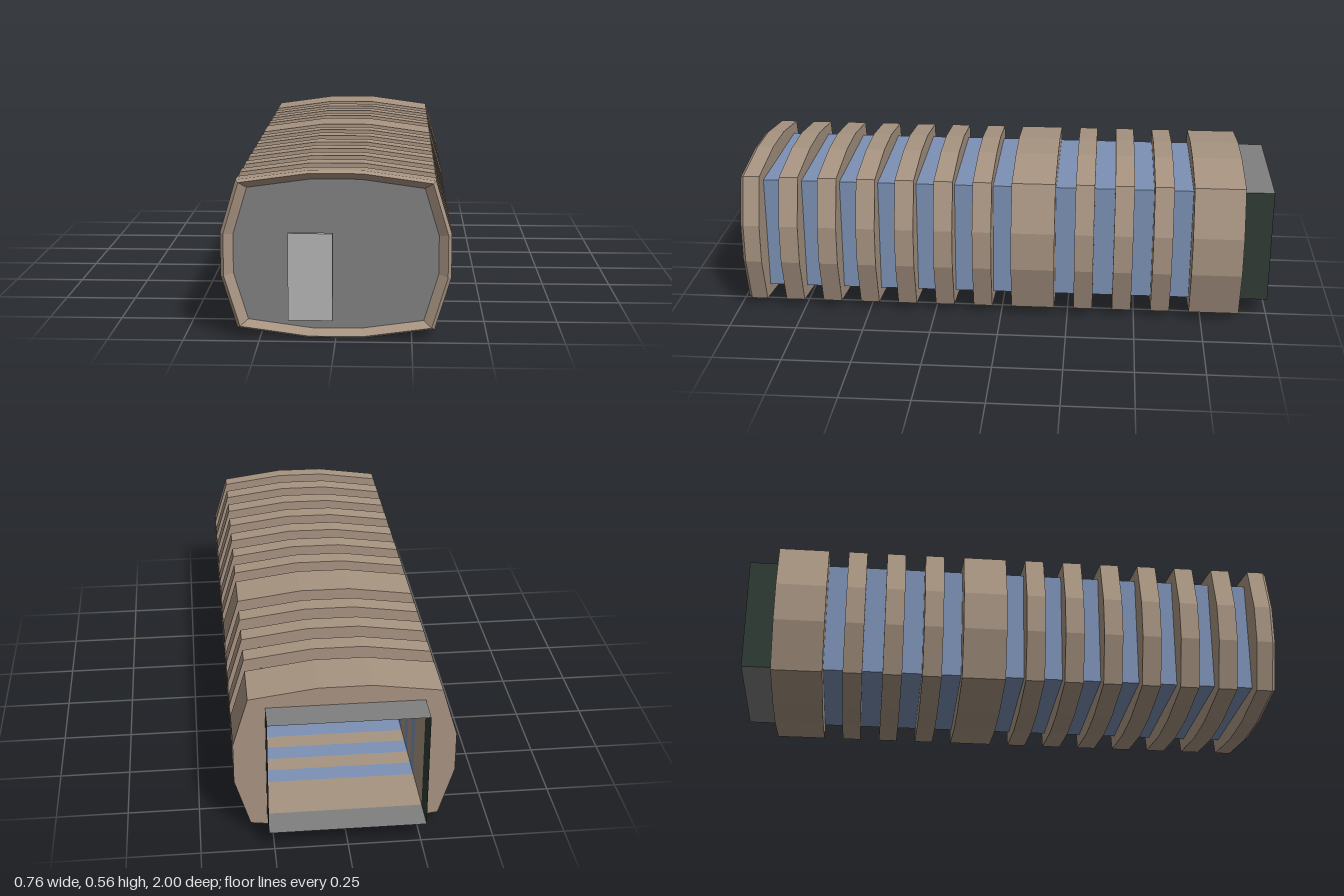
import * as THREE from 'three';

const mat = (name, color, extra = {}) => {
  const m = new THREE.MeshStandardMaterial({ color, ...extra });
  m.name = name;
  return m;
};

export function createModel() {
  const group = new THREE.Group();
  const brown = mat('brown ribs', 0xa89482, { flatShading: true });
  const blue = mat('blue duct', 0x7c91b5, { side: THREE.DoubleSide });
  const grey = mat('grey panel', 0x808080, { side: THREE.DoubleSide });
  const light = mat('light grey', 0xb4b4b4);
  const dark = mat('dark green', 0x303c35, { side: THREE.DoubleSide });

  const CY = 0.2825, HX = 0.268, Y0 = 0.068, Y1 = 0.497;

  const add = (name, geometry, material, x = 0, y = 0, z = 0) => {
    const mesh = new THREE.Mesh(geometry, material);
    mesh.name = name;
    mesh.position.set(x, y, z);
    group.add(mesh);
    return mesh;
  };

  // Twelve-sided hull section, counter-clockwise, scaled about its centre
  const quarter = [[0.378, 0.0725], [0.325, 0.2485], [0.09, 0.281]];
  const section = (s = 1) => [
    ...quarter,
    ...quarter.map(([x, y]) => [-x, y]).reverse(),
    ...quarter.map(([x, y]) => [-x, -y]),
    ...quarter.map(([x, y]) => [x, -y]).reverse(),
  ].map(([x, y]) => new THREE.Vector2(x * s, CY + y * s));

  // Rib: hull section with a rectangular passage through it
  const rib = (name, z0, z1) => {
    const shape = new THREE.Shape(section());
    shape.holes.push(new THREE.Path([[-HX, Y0], [-HX, Y1], [HX, Y1], [HX, Y0]]
      .map(([x, y]) => new THREE.Vector2(x, y))));
    add(name, new THREE.ExtrudeGeometry(shape, { depth: z1 - z0, bevelEnabled: false }), brown, 0, 0, z0);
  };

  // Four thin walls of the rectangular duct
  const duct = (name, z0, z1, sideMat, flatMat) => {
    const len = z1 - z0, zc = (z0 + z1) / 2;
    for (const s of [-1, 1]) {
      add(name + 'Side', new THREE.PlaneGeometry(len, Y1 - Y0), sideMat, s * HX, (Y0 + Y1) / 2, zc)
        .rotation.y = s * Math.PI / 2;
      add(name + (s > 0 ? 'Top' : 'Floor'), new THREE.PlaneGeometry(2 * HX, len), flatMat, 0, s > 0 ? Y1 : Y0, zc)
        .rotation.x = -s * Math.PI / 2;
    }
  };

  // Ribs from back to front
  const spans = [[-0.89, -0.705], [-0.632, -0.562], [-0.488, -0.418], [-0.344, -0.274], [-0.2, -0.04]];
  for (let i = 0; i < 6; i++) spans.push([0.033 + i * 0.1437, 0.103 + i * 0.1437]);
  spans.push([0.895, 0.94]);
  spans.forEach(([a, b]) => rib('rib', a, b));

  // Blue duct and ceiling lamps between the ribs
  for (let i = 0; i < spans.length - 1; i++) {
    const a = spans[i][1], b = spans[i + 1][0];
    duct('duct', a, b, blue, blue);
    for (const s of [-1, 1]) {
      add('ceilingLamp', new THREE.BoxGeometry(0.025, 0.004, 0.04), light, s * 0.143, Y1 - 0.003, (a + b) / 2);
    }
  }

  // Open rear connector
  duct('rearFrame', -1, -0.89, dark, grey);

  // Front rim: chamfer outside, slope inside
  const loops = [[1, 0.94], [1, 0.955], [0.97, 0.967], [0.891, 0.945]];
  const pos = [];
  for (let k = 0; k < loops.length - 1; k++) {
    const [sa, za] = loops[k], [sb, zb] = loops[k + 1];
    const A = section(sa), B = section(sb);
    for (let i = 0; i < A.length; i++) {
      const j = (i + 1) % A.length;
      const a = [A[i].x, A[i].y, za], b = [A[j].x, A[j].y, za];
      const c = [B[j].x, B[j].y, zb], d = [B[i].x, B[i].y, zb];
      pos.push(...a, ...b, ...c, ...a, ...c, ...d);
    }
  }
  const rim = new THREE.BufferGeometry();
  rim.setAttribute('position', new THREE.Float32BufferAttribute(pos, 3));
  rim.computeVertexNormals();
  add('frontRim', rim, brown);

  // Front wall with its hatch
  add('frontWall', new THREE.ShapeGeometry(new THREE.Shape(section(0.891))), grey, 0, 0, 0.945);
  add('hatchBase', new THREE.BoxGeometry(0.12, 0.265, 0.042), light, -0.081, 0.2185, 0.965);
  add('hatchDoor', new THREE.BoxGeometry(0.146, 0.291, 0.015), light, -0.081, 0.2185, 0.9925);

  return group;
}
